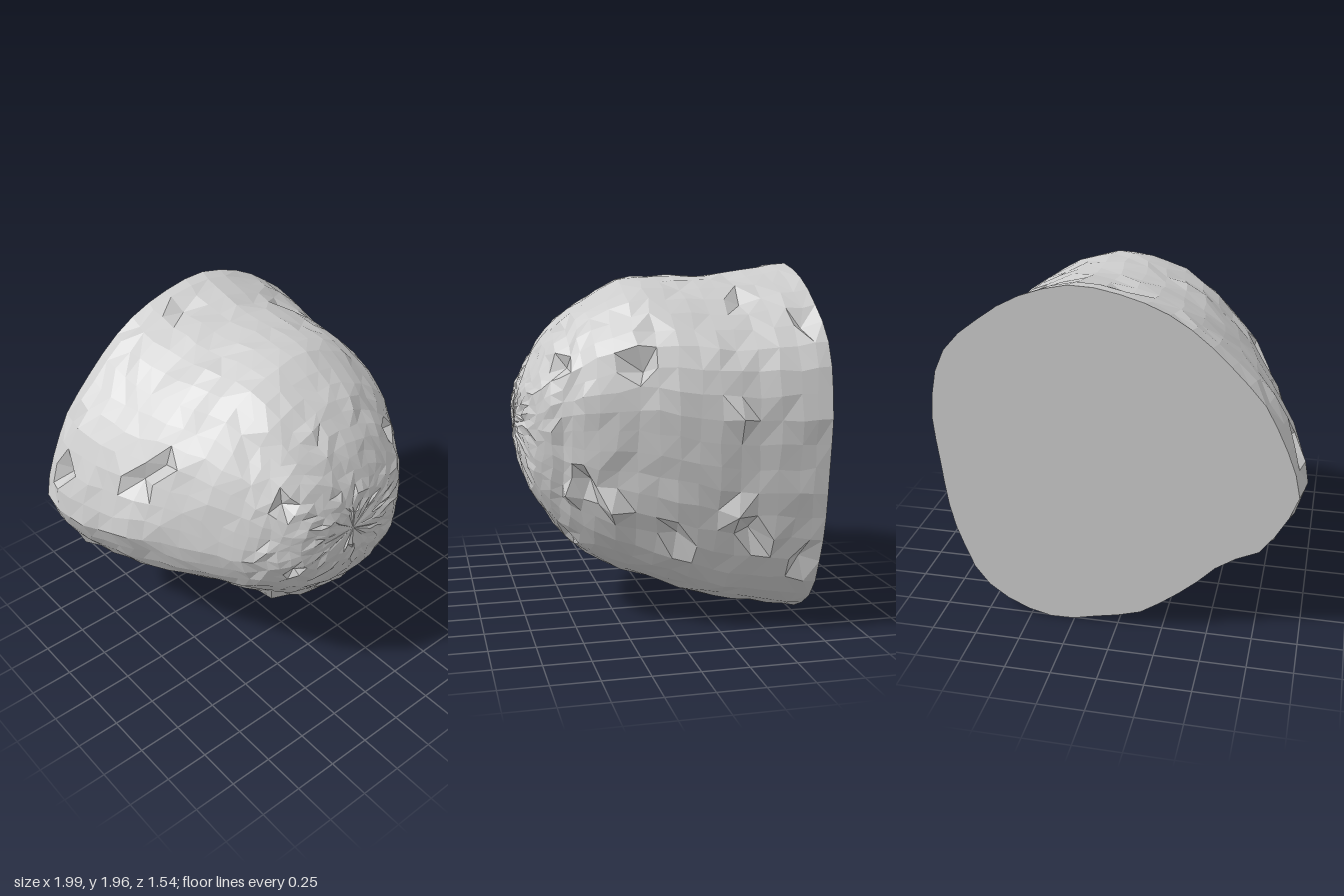
import * as THREE from 'three';

// Small seeded generator for the rough surface
function seeded(seed) {
  return () => {
    seed = (seed * 16807) % 2147483647;
    return seed / 2147483647 - 0.5;
  };
}

// Outline of the flat back, clockwise from the top
const OUTLINE = [
  [0.17, 1.98], [0.38, 1.94], [0.55, 1.87], [0.7, 1.77], [0.85, 1.65], [0.93, 1.54], [0.97, 1.42],
  [1, 1.18], [0.98, 1], [0.96, 0.8], [0.93, 0.6], [0.88, 0.44], [0.78, 0.22], [0.62, 0.09], [0.45, 0.02],
  [0.3, 0], [0.05, 0.05], [-0.13, 0.09], [-0.3, 0.2], [-0.45, 0.32], [-0.62, 0.48], [-0.82, 0.58],
  [-0.91, 0.72], [-1, 0.9], [-0.97, 1.06], [-0.89, 1.25], [-0.8, 1.42], [-0.66, 1.57], [-0.55, 1.68],
  [-0.37, 1.82], [-0.18, 1.91],
];

// Extents of the cross-sections: z, xMin, xMax, yMin, yMax
const SECTIONS = [
  [-0.76, -0.96, 1, 0.01, 1.98], [-0.6, -0.99, 0.98, 0.04, 1.95], [-0.4, -0.95, 0.94, 0.07, 1.92],
  [-0.2, -0.89, 0.9, 0.11, 1.91], [0, -0.81, 0.85, 0.19, 1.91], [0.2, -0.72, 0.77, 0.26, 1.89],
  [0.4, -0.61, 0.69, 0.36, 1.78], [0.52, -0.53, 0.61, 0.46, 1.68], [0.62, -0.45, 0.54, 0.59, 1.56],
  [0.7, -0.36, 0.47, 0.73, 1.43], [0.75, -0.23, 0.34, 0.88, 1.32], [0.77, -0.1, 0.18, 1, 1.22],
];

// Places where a corner sticks out (+) or is chipped in (-): x, y, z, amount
const CHIPS = [
  [0.8, 0.75, 0.32, 0.07], [0.95, 1.2, -0.33, 0.04], [0.8, 1.5, 0.18, -0.08], [0.9, 0.65, -0.3, 0.05],
  [0.88, 0.55, -0.36, -0.07], [0.6, 0.9, 0.47, -0.06], [0.8, 1.62, -0.67, -0.05], [0.8, 0.5, 0.08, -0.06],
  [0.5, 1.45, 0.55, -0.05], [0.65, 1.65, 0.05, -0.04], [0.6, 1.85, -0.35, -0.05], [0.9, 0.35, -0.7, -0.05],
  [-0.35, 1.35, 0.6, -0.04], [-0.28, 0.95, 0.7, -0.05], [0.05, 0.62, 0.62, -0.05], [0.33, 0.5, 0.5, -0.05],
  [0.55, 0.78, 0.5, 0.05], [-0.8, 1.3, -0.1, -0.06], [-0.65, 1.4, 0.05, -0.06], [-0.84, 0.55, -0.6, 0.05],
  [-0.55, 0.5, 0, -0.06], [-0.1, 1.9, -0.64, -0.04], [-0.92, 1.15, -0.62, -0.07], [-0.3, 0.45, 0.4, 0.04],
];

export function createModel() {
  const N = 46, RINGS = 23;
  const rand = seeded(4711);

  const outline = new THREE.CatmullRomCurve3(
    OUTLINE.map(([x, y]) => new THREE.Vector3(x, y - 0.99, 0)).reverse(), true);
  const loop = outline.getSpacedPoints(N).slice(0, N);
  const extent = (a, b) => new THREE.CatmullRomCurve3(
    SECTIONS.map((s) => new THREE.Vector3(s[a], s[b], s[0])), false, 'catmullrom');
  const low = extent(1, 3), high = extent(2, 4);

  // Each ring eases from the back outline towards a rounded square at the front
  const points = [];
  for (let i = 0; i < RINGS; i++) {
    const t = i / (RINGS - 1);
    const lo = low.getPoint(t), hi = high.getPoint(t);
    const blend = 0.75 * t * t;
    for (const p of loop) {
      const k = Math.pow(Math.abs(p.x) ** 2.4 + Math.abs(p.y / 0.99) ** 2.4, -1 / 2.4);
      const s = 1 + (k - 1) * blend;
      const rough = i === 0 ? 0 : 0.02;
      points.push(new THREE.Vector3(
        (lo.x + hi.x) / 2 + (p.x * s * (hi.x - lo.x)) / 2 + rand() * rough,
        (lo.y + hi.y) / 2 + (p.y / 0.99 * s * (hi.y - lo.y)) / 2 + rand() * rough,
        lo.z + rand() * rough));
    }
  }

  // Spurs and chips: move the nearest corner out from or in to the middle
  const middle = new THREE.Vector3(0.05, 1.05, -0.2);
  for (const [x, y, z, amount] of CHIPS) {
    const target = new THREE.Vector3(x, y, z);
    let best = points[N];
    for (let i = N; i < points.length; i++) {
      if (points[i].distanceToSquared(target) < best.distanceToSquared(target)) best = points[i];
    }
    best.addScaledVector(best.clone().sub(middle).normalize(), amount);
  }
  for (const p of points) {
    p.y = Math.max(p.y, 0);
    p.z = Math.max(p.z, -0.76);
  }

  // Rough outer skin, closed by a fan at the front
  const index = [];
  for (let i = 0; i < RINGS - 1; i++) {
    for (let j = 0; j < N; j++) {
      const a = i * N + j, b = i * N + ((j + 1) % N), c = b + N, d = a + N;
      if (rand() > 0) index.push(a, b, c, a, c, d);
      else index.push(a, b, d, b, c, d);
    }
  }
  const tip = points.push(new THREE.Vector3(0.04, 1.11, 0.77)) - 1;
  const front = (RINGS - 1) * N;
  for (let j = 0; j < N; j++) index.push(front + j, front + ((j + 1) % N), tip);
  const skin = new THREE.BufferGeometry().setFromPoints(points);
  skin.setIndex(index);
  skin.computeVertexNormals();

  // Flat cut back
  const cut = new THREE.ShapeGeometry(
    new THREE.Shape(points.slice(0, N).map((p) => new THREE.Vector2(-p.x, p.y))));
  cut.rotateY(Math.PI).translate(0, 0, -0.76);

  const material = new THREE.MeshStandardMaterial({ color: 0xcccccc, flatShading: true });
  const group = new THREE.Group();
  group.name = 'boulder';
  const add = (geometry, name) => {
    const mesh = new THREE.Mesh(geometry, material);
    mesh.name = name;
    group.add(mesh);
  };
  add(skin, 'rockSurface');
  add(cut, 'flatBack');
  return group;
}
